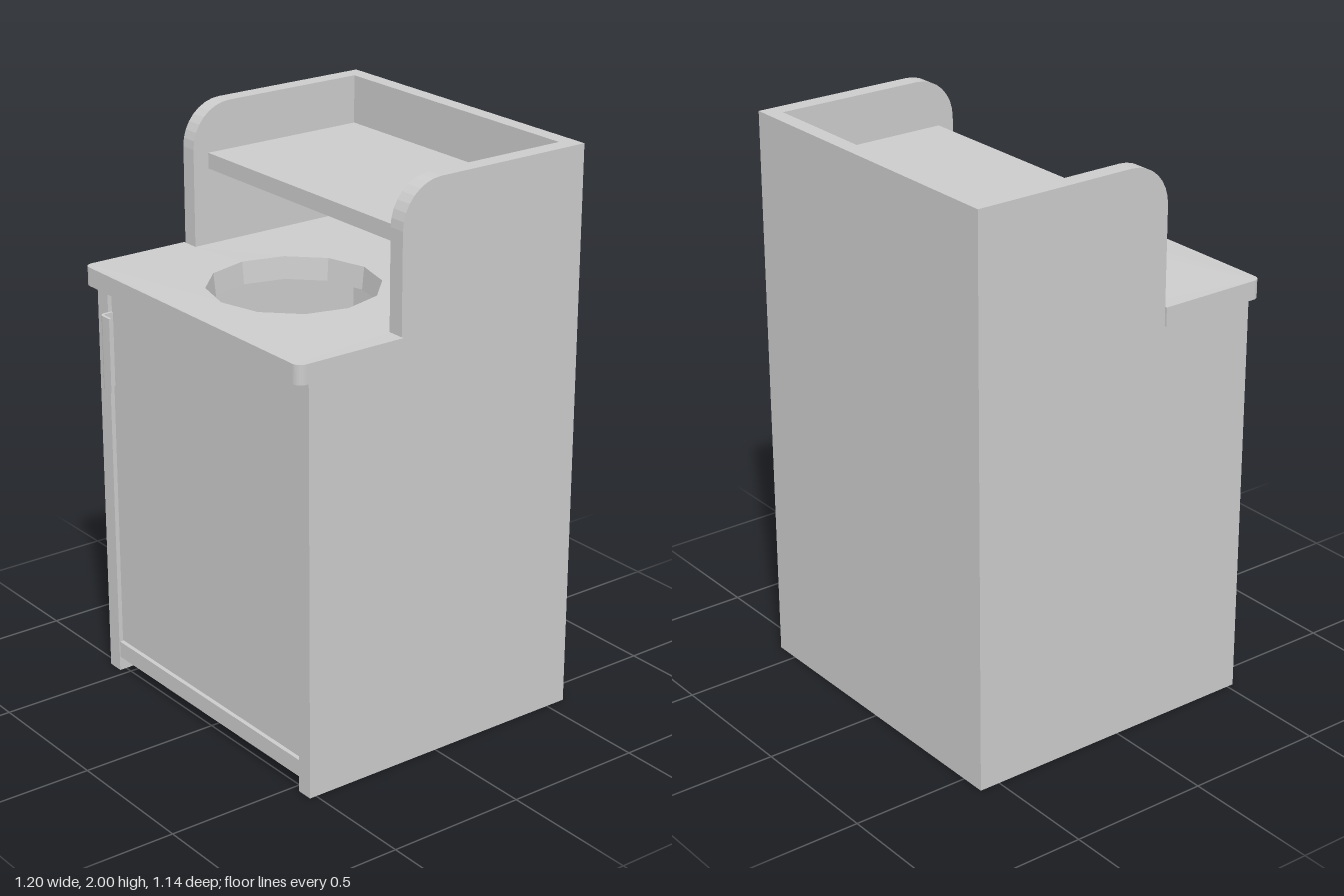
import * as THREE from 'three';

const material = new THREE.MeshStandardMaterial({ color: 0xcccccc });

function add(group, name, geometry) {
  const mesh = new THREE.Mesh(geometry, material);
  mesh.name = name;
  group.add(mesh);
  return mesh;
}

// Box given by its limits on each axis
function panel(group, name, [x0, x1], [y0, y1], [z0, z1]) {
  const mesh = add(group, name, new THREE.BoxGeometry(x1 - x0, y1 - y0, z1 - z0));
  mesh.position.set((x0 + x1) / 2, (y0 + y1) / 2, (z0 + z1) / 2);
  return mesh;
}

export function createModel() {
  const model = new THREE.Group();
  model.name = 'wasteCabinet';

  const inner = 0.53, outer = 0.59, back = -0.575, backInner = -0.52;

  // Side panels: stepped outline with a rounded upper front corner
  const side = new THREE.Shape();
  side.moveTo(back, 0);
  side.lineTo(0.525, 0);
  side.lineTo(0.525, 1.44);
  side.lineTo(0.165, 1.44);
  side.lineTo(0.165, 1.85);
  side.absellipse(0.015, 1.85, 0.15, 0.15, 0, Math.PI / 2, false);
  side.lineTo(back, 2);
  const sideGeometry = new THREE.ExtrudeGeometry(side, {
    depth: outer - inner, bevelEnabled: false, curveSegments: 4,
  });
  sideGeometry.rotateY(-Math.PI / 2);
  add(model, 'leftSide', sideGeometry).position.x = outer;
  add(model, 'rightSide', sideGeometry).position.x = -inner;

  // Carcass panels between the sides
  panel(model, 'backPanel', [-inner, inner], [0, 2], [back, backInner]);
  panel(model, 'floorPanel', [-inner, inner], [0.052, 0.112], [backInner, 0.522]);
  panel(model, 'trayShelf', [-inner, inner], [1.775, 1.83], [backInner, 0.105]);
  panel(model, 'door', [-inner + 0.004, inner - 0.004], [0.117, 1.44], [0.46, 0.512]);

  // Countertop: overhanging front, narrow rear between the sides, twelve-sided hole
  const r = 0.03, front = 0.57, wide = 0.598;
  const top = new THREE.Shape();
  top.moveTo(-inner, -backInner);
  top.lineTo(-inner, -0.165);
  top.lineTo(-wide, -0.165);
  top.lineTo(-wide, -front + r);
  top.absarc(-wide + r, -front + r, r, Math.PI, Math.PI * 1.5, false);
  top.absarc(wide - r, -front + r, r, Math.PI * 1.5, Math.PI * 2, false);
  top.lineTo(wide, -0.165);
  top.lineTo(inner, -0.165);
  top.lineTo(inner, -backInner);
  const hole = new THREE.Path();
  for (let i = 0; i < 12; i++) {
    const a = -i * Math.PI / 6;
    const x = 0.288 * Math.cos(a), y = -0.14 + 0.288 * Math.sin(a);
    if (i === 0) hole.moveTo(x, y); else hole.lineTo(x, y);
  }
  hole.closePath();
  top.holes.push(hole);
  const topGeometry = new THREE.ExtrudeGeometry(top, {
    depth: 0.066, bevelEnabled: false, curveSegments: 4,
  });
  topGeometry.rotateX(-Math.PI / 2);
  // Slightly swell the rim of the hole and taper it downward
  const p = topGeometry.attributes.position;
  for (let i = 0; i < p.count; i++) {
    const x = p.getX(i), z = p.getZ(i) - 0.14;
    if (Math.hypot(x, z) > 0.3) continue;
    const upper = p.getY(i) > 0.03;
    const k = upper ? 1.01 : 0.98;
    p.setXYZ(i, x * k, p.getY(i) + (upper ? 0.006 : -0.006), z * k + 0.14);
  }
  topGeometry.computeVertexNormals();
  add(model, 'countertop', topGeometry).position.y = 1.442;

  // Door pull: curved lip, open toward the middle of the door
  const pull = new THREE.Shape();
  pull.moveTo(-0.53, -0.51);
  pull.lineTo(-0.53, -0.54);
  pull.absarc(-0.51, -0.54, 0.02, Math.PI, Math.PI * 1.5, false);
  pull.lineTo(-0.47, -0.56);
  pull.lineTo(-0.47, -0.55);
  pull.lineTo(-0.51, -0.55);
  pull.absarc(-0.51, -0.54, 0.01, Math.PI * 1.5, Math.PI, true);
  pull.lineTo(-0.52, -0.51);
  const pullGeometry = new THREE.ExtrudeGeometry(pull, {
    depth: 0.265, bevelEnabled: false, curveSegments: 6,
  });
  pullGeometry.rotateX(-Math.PI / 2);
  add(model, 'doorPull', pullGeometry).position.y = 1.085;

  return model;
}
